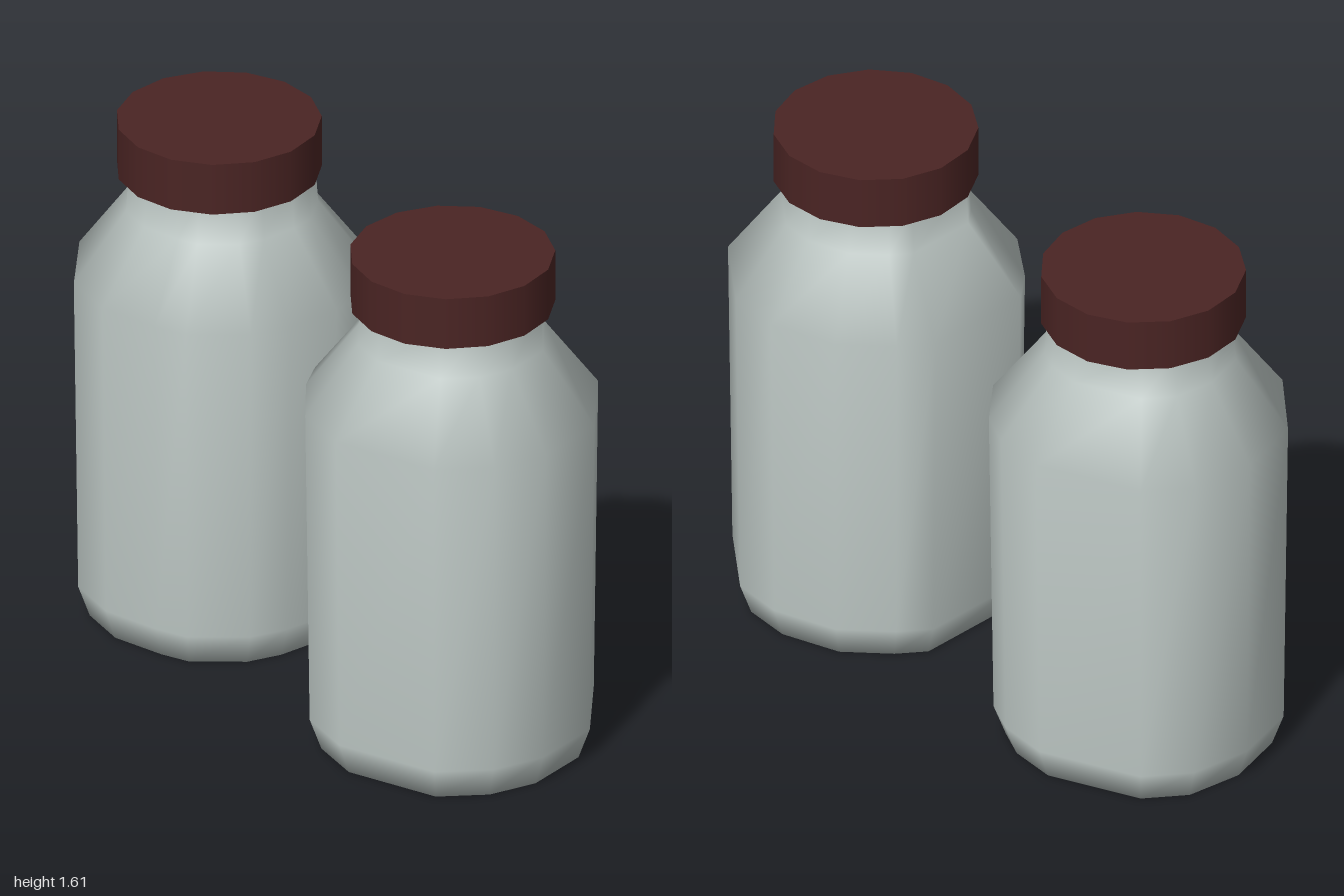
import * as THREE from 'three';

// Uneven many-sided outlines (x, z) of the two jars at their widest level
const LEFT_JAR = [
  [0.445, 0], [0.415, 0.17], [0.315, 0.32], [-0.005, 0.435], [-0.195, 0.4], [-0.355, 0.27], [-0.425, 0.18],
  [-0.425, -0.18], [-0.355, -0.27], [-0.215, -0.39], [-0.005, -0.445], [0.165, -0.42], [0.385, -0.23],
];
const RIGHT_JAR = [
  [0.435, 0.08], [0.405, 0.2], [0.285, 0.35], [0.185, 0.39], [-0.005, 0.435], [-0.185, 0.4], [-0.385, 0.22],
  [-0.445, 0], [-0.415, -0.2], [-0.315, -0.33], [0.005, -0.445], [0.175, -0.42], [0.285, -0.36],
  [0.405, -0.22], [0.435, -0.1],
];

// Height and outline scale: foot, heel, shoulder, neck base, neck top
const LEVELS = [[0, 0.89], [0.1, 0.97], [1.11, 1], [1.33, 0.64], [1.47, 0.62]];

// Lofts an outline through all levels and closes the base
function jarGeometry(outline) {
  const n = outline.length;
  const positions = [];
  const index = [];
  for (const [y, s] of LEVELS) {
    for (const [x, z] of outline) positions.push(x * s, y, z * s);
  }
  const centre = positions.length / 3;
  positions.push(0, 0, 0);
  for (let j = 0; j < n; j++) {
    const k = (j + 1) % n;
    for (let i = 0; i < LEVELS.length - 1; i++) {
      const a = i * n + j, b = i * n + k;
      index.push(a, a + n, b, b, a + n, b + n);
    }
    index.push(centre, j, k);
  }
  const geometry = new THREE.BufferGeometry();
  geometry.setAttribute('position', new THREE.Float32BufferAttribute(positions, 3));
  geometry.setIndex(index);
  geometry.computeVertexNormals();
  return geometry;
}

export function createModel() {
  const model = new THREE.Group();
  model.name = 'jars';

  const glass = new THREE.MeshStandardMaterial({ color: 0xbcc6c3 });
  glass.name = 'pale grey';
  const lidRed = new THREE.MeshStandardMaterial({ color: 0x4a2423 });
  lidRed.name = 'dark red';

  const lidGeometry = new THREE.CylinderGeometry(0.305, 0.305, 0.165, 15);

  for (const [name, x, outline] of [['leftJar', 0.555, LEFT_JAR], ['rightJar', -0.555, RIGHT_JAR]]) {
    const jar = new THREE.Group();
    jar.name = name;
    jar.position.x = x;

    const body = new THREE.Mesh(jarGeometry(outline), glass);
    body.name = 'body';

    const lid = new THREE.Mesh(lidGeometry, lidRed);
    lid.name = 'lid';
    lid.position.y = 1.5225;

    jar.add(body, lid);
    model.add(jar);
  }
  return model;
}
